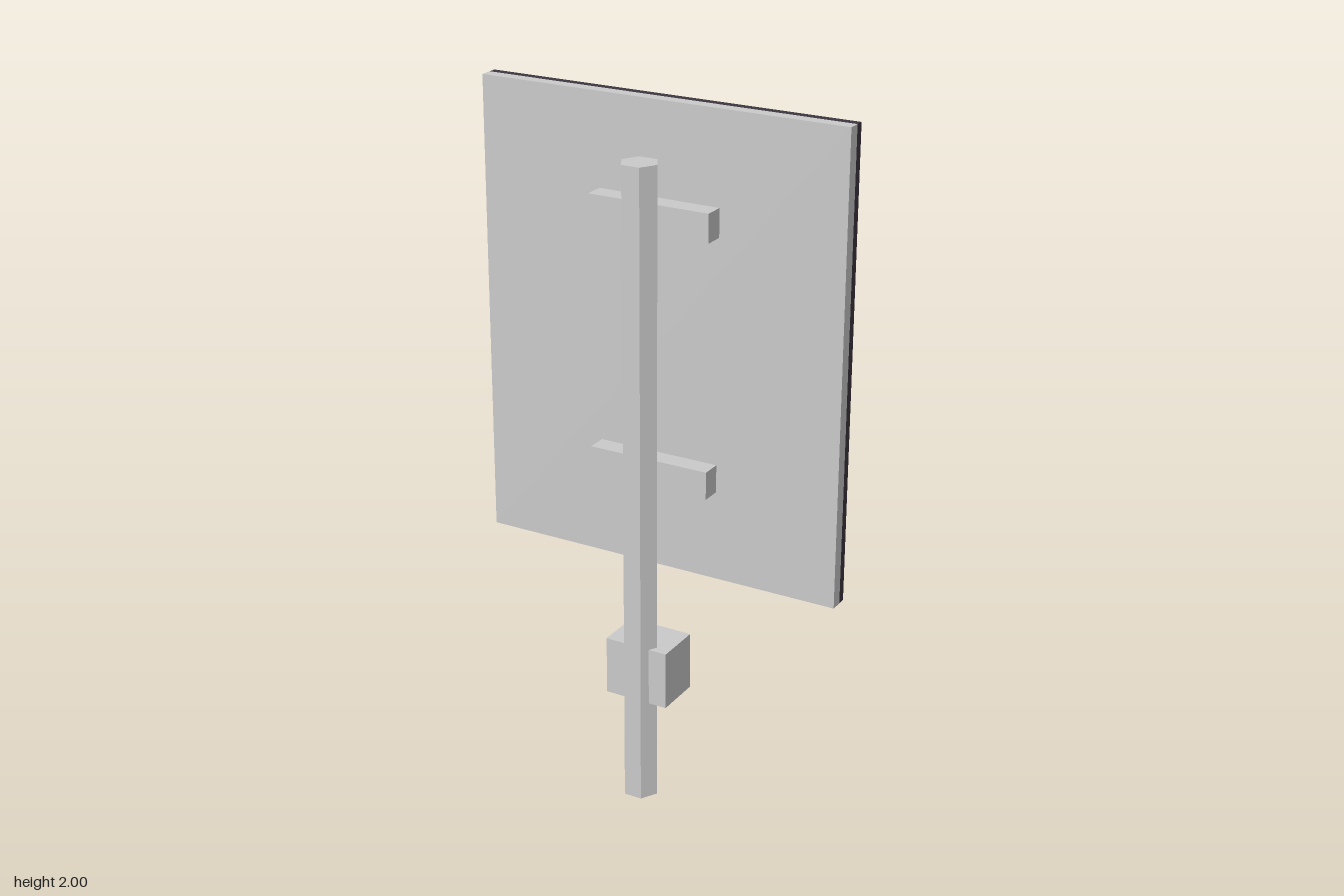
import * as THREE from 'three';

const material = (color) => new THREE.MeshStandardMaterial({ color, flatShading: true });

export function createModel() {
  const model = new THREE.Group();
  model.name = 'chevronSign';
  const grey = material(0xcccccc);
  const dark = material(0x3d3640);
  const yellow = material(0xfac93a);

  function add(name, geometry, mat) {
    const mesh = new THREE.Mesh(geometry, mat);
    mesh.name = name;
    model.add(mesh);
    return mesh;
  }

  // Box given by its lower and upper limits on each axis
  function addBox(name, [x0, x1], [y0, y1], [z0, z1], mat) {
    const box = add(name, new THREE.BoxGeometry(x1 - x0, y1 - y0, z1 - z0), mat);
    box.position.set((x0 + x1) / 2, (y0 + y1) / 2, (z0 + z1) / 2);
  }

  // Hexagonal post, corners pointing sideways
  const post = add('post', new THREE.CylinderGeometry(0.053, 0.053, 1.86, 6).rotateY(Math.PI / 6), grey);
  post.position.set(0, 0.93, 0.069);

  // Block clamped on the lower post
  addBox('postBlock', [-0.097, 0.094], [0.305, 0.475], [-0.047, 0.092], grey);

  // Brackets joining the post to the panel
  for (const [name, y] of [['lowerBracket', 0.98], ['upperBracket', 1.70]]) {
    addBox(name, [-0.18, 0.18], [y - 0.04, y + 0.04], [-0.03, 0.028], grey);
  }

  // Layered panel: grey backing, dark border, yellow field
  addBox('panelBacking', [-0.542, 0.542], [0.68, 2], [-0.065, -0.03], grey);
  addBox('panelBorder', [-0.542, 0.542], [0.68, 2], [-0.088, -0.065], dark);
  addBox('panelField', [-0.483, 0.483], [0.74, 1.94], [-0.105, -0.088], yellow);

  // Raised chevron: upper half outline mirrored about its middle height
  const midY = 1.34;
  const half = [[-0.365, 0.36], [-0.2, 0.54], [0.305, 0.085], [0.338, 0.03]];
  const outline = [[0.035, 0], ...half, ...half.map(([x, y]) => [x, -y]).reverse()];
  const shape = new THREE.Shape(outline.map(([x, y]) => new THREE.Vector2(x, midY + y)));
  const chevron = add('chevron', new THREE.ExtrudeGeometry(shape, { depth: 0.015, bevelEnabled: false }), dark);
  chevron.position.z = -0.12;

  return model;
}
